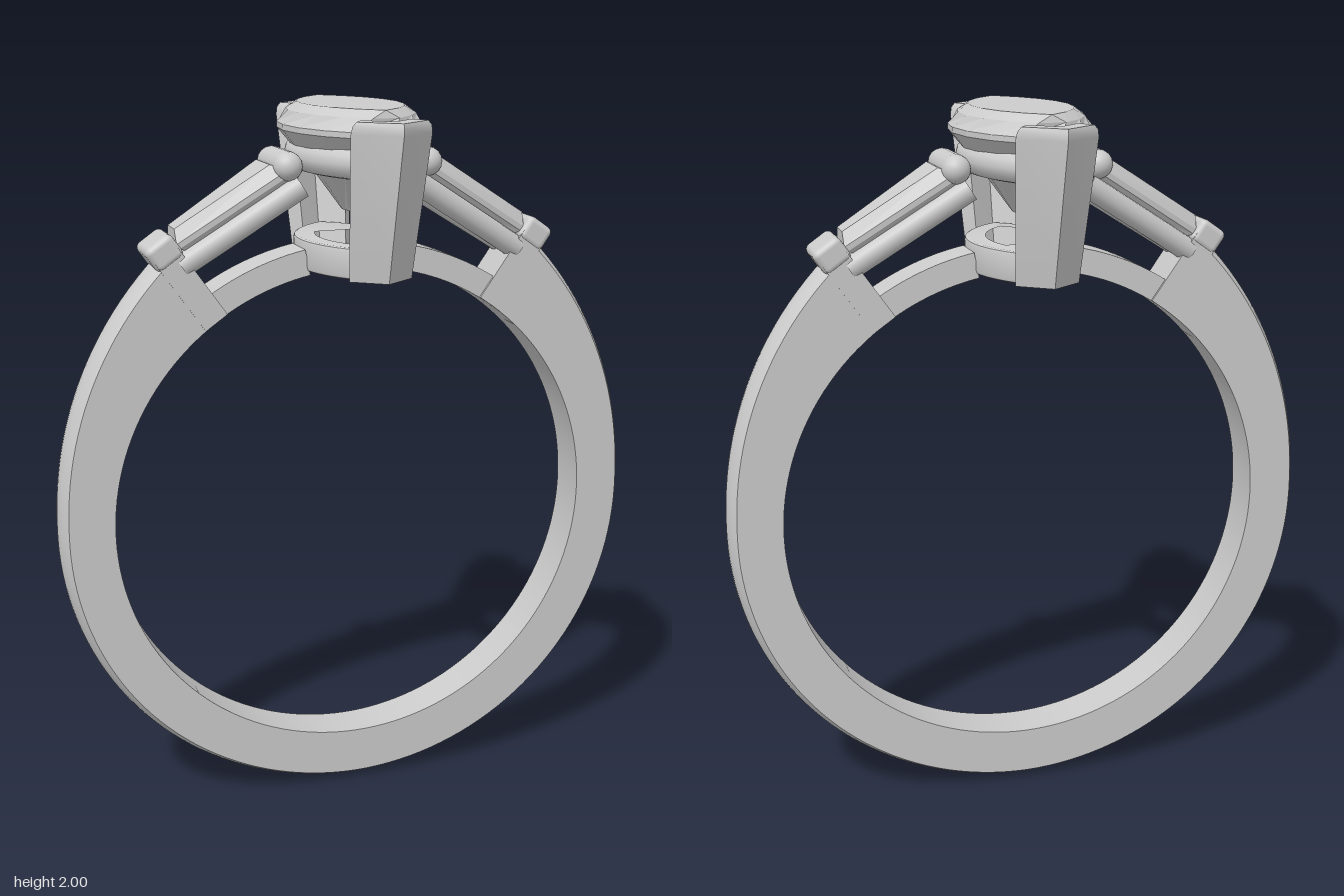
import * as THREE from 'three';
import { toCreasedNormals } from 'three/addons/utils/BufferGeometryUtils.js';
import { RoundedBoxGeometry } from 'three/addons/geometries/RoundedBoxGeometry.js';

const CY = 0.855;          // centre height of the finger hole
const HOLE = 0.7;
const rad = THREE.MathUtils.degToRad;
const V = (x, y, z) => new THREE.Vector3(x, y, z);
const metal = new THREE.MeshStandardMaterial({ color: 0xcccccc });
const facet = new THREE.MeshStandardMaterial({ color: 0xcccccc, flatShading: true });

function add(parent, name, geometry, material = metal) {
  const m = new THREE.Mesh(geometry, material);
  m.name = name;
  parent.add(m);
  return m;
}

// Closed solid through rings of equal length; caps fan out from each ring's first point.
function loft(rings, crease = 35) {
  const tris = [];
  const n = rings[0].length;
  for (let i = 0; i + 1 < rings.length; i++) {
    for (let j = 0; j < n; j++) {
      const k = (j + 1) % n, A = rings[i], B = rings[i + 1];
      tris.push([A[j], A[k], B[k]], [A[j], B[k], B[j]]);
    }
  }
  const first = rings[0], last = rings[rings.length - 1];
  for (let j = 1; j + 1 < n; j++) {
    tris.push([first[0], first[j + 1], first[j]], [last[0], last[j], last[j + 1]]);
  }
  // turn the faces outwards
  let volume = 0;
  for (const [a, b, c] of tris) volume += a.dot(b.clone().cross(c));
  const pts = tris.flatMap(t => (volume < 0 ? [t[0], t[2], t[1]] : t));
  return toCreasedNormals(new THREE.BufferGeometry().setFromPoints(pts), rad(crease));
}

// Pointed oval of half width a and half length b, starting at the +z tip.
function marquise(a, b, y, n, shift = 0) {
  const R = (a * a + b * b) / (2 * a), half = Math.asin(b / R), pts = [];
  for (let i = 0; i < n; i++) {
    const t = ((i + shift) / n) * 2;
    const side = t < 1 ? 1 : -1;
    const ang = half * (1 - 2 * (t % 1)) * side;
    pts.push(V(side * (R * Math.cos(ang) - R + a), y, R * Math.sin(ang)));
  }
  return pts;
}

// Band: flat sides, domed outside, thickening towards the shoulders
function bandGeometry() {
  const rings = [], steps = 120, w = 0.065;
  for (let i = 0; i <= steps; i++) {
    const deg = 54 - (288 * i) / steps;
    const rise = Math.max(0, 90 - Math.abs(deg + 90));
    const up = Math.max(0, Math.abs(deg + 90) - 90);
    const out = 0.85 + 0.075 * Math.pow(up / 52, 1.7) + 0.005 * (rise / 90);
    const section = [[HOLE, -w], [HOLE, w]];
    for (let k = 0; k <= 8; k++) {
      const s = 1 - k / 4;
      section.push([out - 0.022 * s * s, w * s]);
    }
    const c = Math.cos(rad(deg)), s = Math.sin(rad(deg));
    rings.push(section.map(([r, z]) => V(r * c, CY + r * s, z)));
  }
  return loft(rings, 25);
}

// Arc joining the shoulder to the lower gallery
function bridgeGeometry() {
  const rings = [];
  for (let i = 0; i <= 12; i++) {
    const a = rad(55 + 24 * i / 12), c = Math.cos(a), s = Math.sin(a);
    rings.push([[0.7, -0.06], [0.7, 0.06], [0.772, 0.06], [0.772, -0.06]]
      .map(([r, z]) => V(r * c, CY + r * s, z)));
  }
  return loft(rings);
}

// Centre stone: table, crown, girdle and pavilion
function centreStone() {
  const N = 16;
  return loft([
    marquise(0.02, 0.06, 1.71, N, 0),
    marquise(0.1, 0.2, 1.82, N, 0.5),
    marquise(0.19, 0.36, 1.93, N, 0),
    marquise(0.19, 0.36, 1.945, N, 0),
    marquise(0.165, 0.325, 1.98, N, 0.5),
    marquise(0.135, 0.29, 2.0, N, 0),
  ], 1);
}

// V-shaped claw, wider and further out at the top, with a softened top edge
function clawGeometry() {
  const low = [[0, 0.268], [0.062, 0.217], [0.088, 0.258], [0, 0.325]];
  const high = [[0, 0.36], [0.08, 0.29], [0.112, 0.34], [0, 0.43]];
  const levels = [[1.555, 0, 1], [1.945, 0.96, 1], [1.965, 1, 0.93], [1.977, 1, 0.78]];
  const rings = levels.map(([y, t, s]) => {
    const p = low.map(([x, z], i) => [
      THREE.MathUtils.lerp(x, high[i][0], t) * (0.4 + 0.6 * s),
      THREE.MathUtils.lerp(z, high[i][1], t)]);
    const mid = 0.25 * (p[0][1] + p[1][1] + p[2][1] + p[3][1]);
    const pull = 0.6 + 0.4 * s;
    const q = p.map(([x, z]) => [x, mid + (z - mid) * pull]);
    return [...q, [-q[2][0], q[2][1]], [-q[1][0], q[1][1]]].map(([x, z]) => V(x, y, z));
  });
  return loft(rings, 30);
}

// Lower gallery: pointed oval frame with a rectangular section
function galleryGeometry() {
  const toPath = (a, b, Type) =>
    new Type(marquise(a, b, 0, 48).map(p => new THREE.Vector2(p.x, p.z)));
  const shape = toPath(0.14, 0.27, THREE.Shape);
  shape.holes.push(toPath(0.09, 0.2, THREE.Path));
  const g = new THREE.ExtrudeGeometry(shape, {
    depth: 0.065, bevelThickness: 0.01, bevelSize: 0.008, bevelSegments: 2,
  });
  return toCreasedNormals(g.rotateX(-Math.PI / 2).translate(0, 1.562, 0), rad(35));
}

// Tapered side stone with its rails, end bar, collar and bridge; built on the +x side
function shoulder() {
  const group = new THREE.Group();
  add(group, 'bridge', bridgeGeometry());

  const collar = new THREE.Group();
  collar.name = 'collar';
  collar.position.y = CY;
  collar.rotation.z = rad(55 - 90);
  add(collar, 'collarPlate', new THREE.BoxGeometry(0.075, 0.23, 0.134)).position.y = 0.815;
  add(collar, 'collarBar', new RoundedBoxGeometry(0.088, 0.075, 0.142, 3, 0.018)).position.y = 0.938;
  group.add(collar);

  const setting = new THREE.Group();
  setting.name = 'sideSetting';
  setting.position.set(0.22, 1.86, 0);
  setting.rotation.z = Math.atan2(-0.19, 0.3);
  group.add(setting);
  const quad = (y, x0, w0, x1, w1) => [V(x0, y, w0), V(x1, y, w1), V(x1, y, -w1), V(x0, y, -w0)];
  add(setting, 'sideStone', loft([
    quad(-0.1, 0.05, 0.045, 0.31, 0.025),
    quad(-0.045, 0, 0.095, 0.355, 0.056),
    quad(-0.03, 0, 0.095, 0.355, 0.056),
    quad(0.004, 0.03, 0.068, 0.335, 0.038),
  ], 1), facet);
  for (const side of [1, -1]) {
    const path = new THREE.LineCurve3(V(-0.01, -0.09, 0.083 * side), V(0.375, -0.09, 0.04 * side));
    add(setting, 'sideRail', new THREE.TubeGeometry(path, 1, 0.033, 14));
  }

  const bar = add(group, 'innerBar', new THREE.CapsuleGeometry(0.04, 0.155, 6, 16));
  bar.rotation.x = Math.PI / 2;
  bar.position.set(0.2, 1.842, 0);
  return group;
}

export function createModel() {
  const model = new THREE.Group();
  model.name = 'ring';
  add(model, 'band', bandGeometry());

  // Head holding the centre stone
  const head = new THREE.Group();
  head.name = 'head';
  model.add(head);
  add(head, 'centreStone', centreStone(), facet);
  const seat = new THREE.CatmullRomCurve3(marquise(0.125, 0.3, 1.86, 32), true);
  add(head, 'seatRail', new THREE.TubeGeometry(seat, 96, 0.043, 12, true));
  add(head, 'lowerGallery', galleryGeometry());

  // Claws and shoulders repeat by a half turn
  for (const turn of [0, Math.PI]) {
    const claw = add(head, turn ? 'backClaw' : 'frontClaw', clawGeometry());
    claw.rotation.y = turn;
    const s = shoulder();
    s.name = turn ? 'rightShoulder' : 'leftShoulder';
    s.rotation.y = turn;
    model.add(s);
  }
  return model;
}
